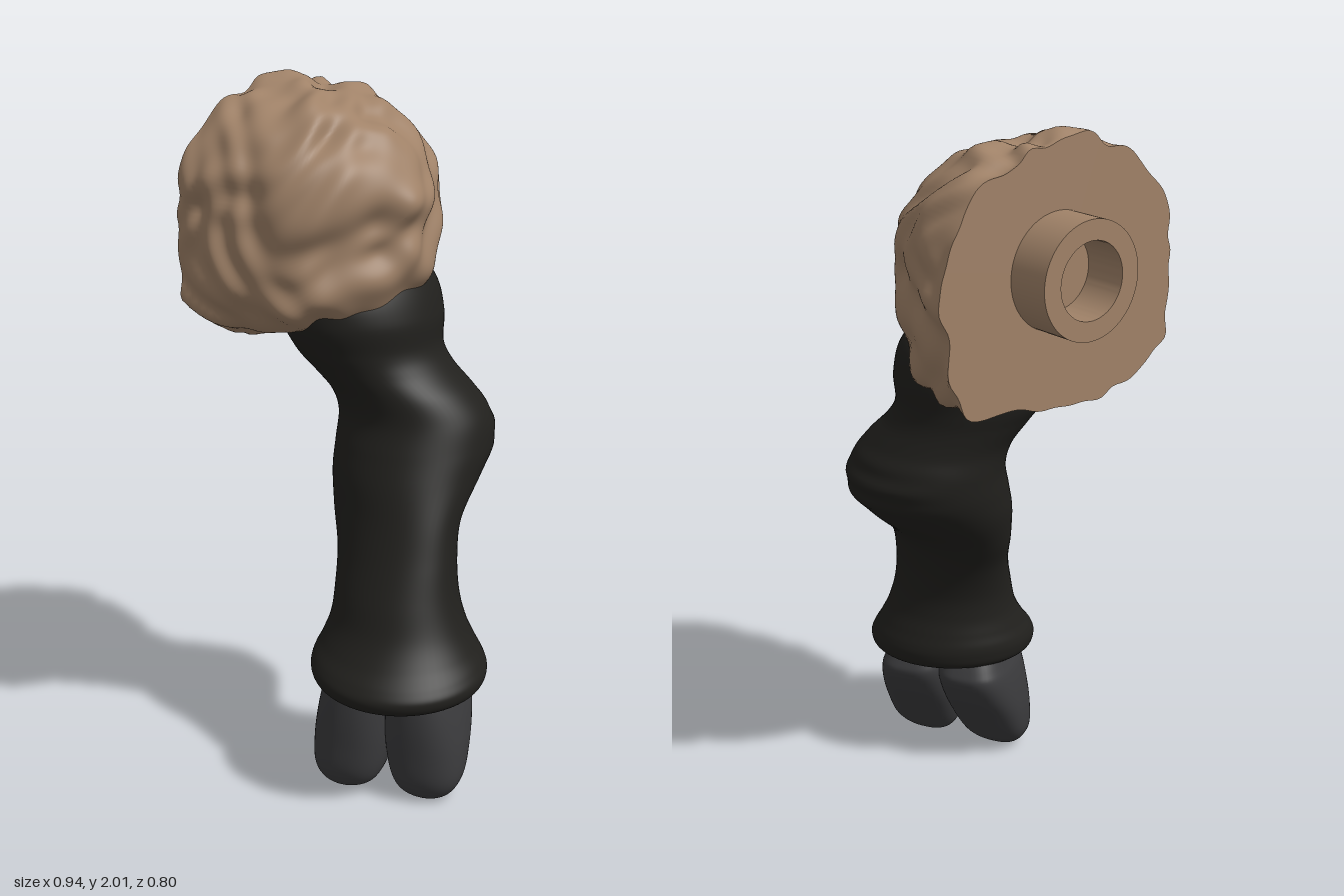
import * as THREE from 'three';
import { toCreasedNormals } from 'three/addons/utils/BufferGeometryUtils.js';

const mat = (color) => new THREE.MeshStandardMaterial({ color });
const TAU = Math.PI * 2;

// Smooth surface from closed rings: point(angle, v) with v from 0 to 1.
function ringSurface(point, around, rows) {
  const pos = [], index = [];
  for (let j = 0; j <= rows; j++)
    for (let i = 0; i < around; i++) pos.push(...point((i / around) * TAU, j / rows));
  for (let j = 0; j < rows; j++)
    for (let i = 0; i < around; i++) {
      const a = j * around + i, b = j * around + ((i + 1) % around);
      index.push(a, a + around, b, b, a + around, b + around);
    }
  const g = new THREE.BufferGeometry();
  g.setAttribute('position', new THREE.Float32BufferAttribute(pos, 3));
  g.setIndex(index);
  g.computeVertexNormals();
  return g;
}

// Rows of [y, min x, max x, min z, max z] become smooth centre and radius curves.
function profile(rows) {
  const centre = new THREE.CatmullRomCurve3(
    rows.map(([y, a, b, c, d]) => new THREE.Vector3((a + b) / 2, y, (c + d) / 2)));
  const radius = new THREE.CatmullRomCurve3(
    rows.map(([y, a, b, c, d]) => new THREE.Vector3((b - a) / 2, y, (d - c) / 2)));
  centre.curveType = radius.curveType = 'catmullrom';
  return (v) => [centre.getPoint(v), radius.getPoint(v)];
}

// Leg: bent at the knee, flaring into a tilted collar above the hoof
function legGeometry() {
  const at = profile([
    [0.38, 0.20, 0.22, 0.05, 0.07],
    [0.36, 0.04, 0.39, -0.12, 0.23],
    [0.345, 0.00, 0.42, -0.15, 0.27],
    [0.36, -0.03, 0.455, -0.18, 0.30],
    [0.39, -0.04, 0.465, -0.19, 0.31],
    [0.42, -0.04, 0.45, -0.185, 0.295],
    [0.46, -0.03, 0.42, -0.17, 0.26],
    [0.52, -0.02, 0.385, -0.15, 0.22],
    [0.60, -0.025, 0.355, -0.14, 0.19],
    [0.70, -0.055, 0.33, -0.15, 0.15],
    [0.80, -0.11, 0.31, -0.19, 0.12],
    [0.90, -0.16, 0.295, -0.30, 0.10],
    [0.98, -0.185, 0.285, -0.375, 0.075],
    [1.06, -0.195, 0.265, -0.38, 0.05],
    [1.13, -0.20, 0.225, -0.345, 0.065],
    [1.20, -0.225, 0.165, -0.31, 0.11],
    [1.26, -0.25, 0.135, -0.30, 0.155],
    [1.35, -0.27, 0.13, -0.315, 0.20],
    [1.45, -0.26, 0.09, -0.30, 0.20],
    [1.55, -0.2, 0.0, -0.2, 0.1],
  ]);
  return ringSurface((a, v) => {
    const [c, r] = at(v);
    const dx = r.x * Math.cos(a);
    let dz = r.z * Math.sin(a);
    // Skin folds at the back of the knee
    const back = Math.max(0, -Math.sin(a)) ** 2;
    const fold = Math.exp(-(((c.y - 1.03) / 0.07) ** 2));
    dz += 0.006 * back * fold * Math.cos((c.y - 1.0) * 88);
    const tilt = 1 - THREE.MathUtils.smoothstep(c.y, 0.45, 0.7);
    return [c.x + dx, c.y - tilt * (0.07 * dx + 0.06 * dz), c.z + dz];
  }, 64, 152);
}

// One toe of the cloven hoof; s = 1 or -1 picks the side of the cleft
function toeGeometry(s) {
  const at = profile([
    [0.01, 0.12, 0.12, 0.07, 0.07],
    [0.013, 0.085, 0.155, 0.04, 0.095],
    [0.035, 0.04, 0.195, 0.01, 0.12],
    [0.08, 0.012, 0.22, -0.03, 0.138],
    [0.16, -0.008, 0.225, -0.085, 0.145],
    [0.24, -0.015, 0.218, -0.14, 0.15],
    [0.31, -0.015, 0.205, -0.175, 0.15],
    [0.35, -0.01, 0.19, -0.165, 0.145],
    [0.42, 0.0, 0.16, -0.12, 0.11],
  ]);
  const squarer = (t, e) => Math.sign(t) * Math.abs(t) ** e;
  return ringSurface((angle, v) => {
    const [c, r] = at(v), a = angle * s;
    const e = Math.sin(a) < 0 ? 0.65 : 0.88;
    return [s * (c.x + r.x * squarer(Math.cos(a), e)), c.y, c.z + r.z * squarer(Math.sin(a), e)];
  }, 48, 48);
}

// Wool: a half dome with soft swirling lumps, cut flat at x = -0.34
function lumps(x, y, z) {
  const wx = x + 0.2 * Math.sin(5 * y + 3 * z), wy = y + 0.2 * Math.sin(5 * z - 4 * x + 1);
  const wz = z + 0.2 * Math.sin(5 * x + 4 * y + 2);
  const big = Math.sin(7 * wx + 1) * Math.sin(6 * wy + 0.6) + Math.sin(7 * wy) * Math.sin(8 * wz + 0.5);
  const small = Math.sin(13 * wx) * Math.sin(14 * wy + 1) + Math.sin(15 * wz) * Math.sin(12 * wx + 2);
  return 0.028 * big + 0.02 * small;
}

// The dome is round seen from above, and squarer towards its lower rim
function woolPoint(a, t) {
  const [dx, dy, dz] = [Math.sin(t), Math.cos(t) * Math.cos(a), Math.cos(t) * Math.sin(a)];
  const low = THREE.MathUtils.smoothstep(-dy, 0, 0.5);
  const n = 2.1 + 1.9 * low;
  const flat = (Math.abs(dx / 0.485) ** 2.15 + Math.abs(dz / 0.39) ** 2.15) ** (1 / 2.15);
  const r = (flat ** n + Math.abs(dy / 0.345) ** n) ** (-1 / n) * (1 + lumps(dx, dy, dz));
  const x = r * dx;
  return [x - 0.34, 1.65 + r * dy + low * (0.05 * x - 0.015), r * dz];
}

export function createModel() {
  const model = new THREE.Group();
  const brown = mat(0xa08268), dark = mat(0x21201d), horn = mat(0x3b3b3d);
  const add = (name, geometry, material, parent = model) => {
    const mesh = new THREE.Mesh(geometry, material);
    mesh.name = name;
    parent.add(mesh);
    return mesh;
  };

  add('leg', legGeometry(), dark);

  // Cloven hoof, turned outward
  const hoof = new THREE.Group();
  hoof.name = 'hoof';
  hoof.position.set(0.185, 0, 0.05);
  hoof.rotation.y = 0.5;
  model.add(hoof);
  add('outerToe', toeGeometry(1), horn, hoof);
  add('innerToe', toeGeometry(-1), horn, hoof);

  // Wool dome and its flat joint face
  add('wool', ringSurface((a, v) => woolPoint(a, (1 - v) * Math.PI / 2), 160, 90), brown);
  add('jointFace', ringSurface((a, v) => {
    const [x, y, z] = woolPoint(a, 0);
    return [x, y + (1.65 - y) * v, z * (1 - v)];
  }, 160, 1), brown);

  // Hollow joint peg
  const ring = new THREE.Shape().absarc(0, 0, 0.16, 0, TAU);
  ring.holes.push(new THREE.Path().absarc(0, 0, 0.105, 0, TAU, true));
  const tube = new THREE.ExtrudeGeometry(ring, { depth: 0.15, bevelEnabled: false, curveSegments: 48 });
  const peg = add('jointPeg', toCreasedNormals(tube, 0.6), brown);
  peg.rotation.y = Math.PI / 2;
  peg.position.set(-0.47, 1.655, -0.015);

  return model;
}
